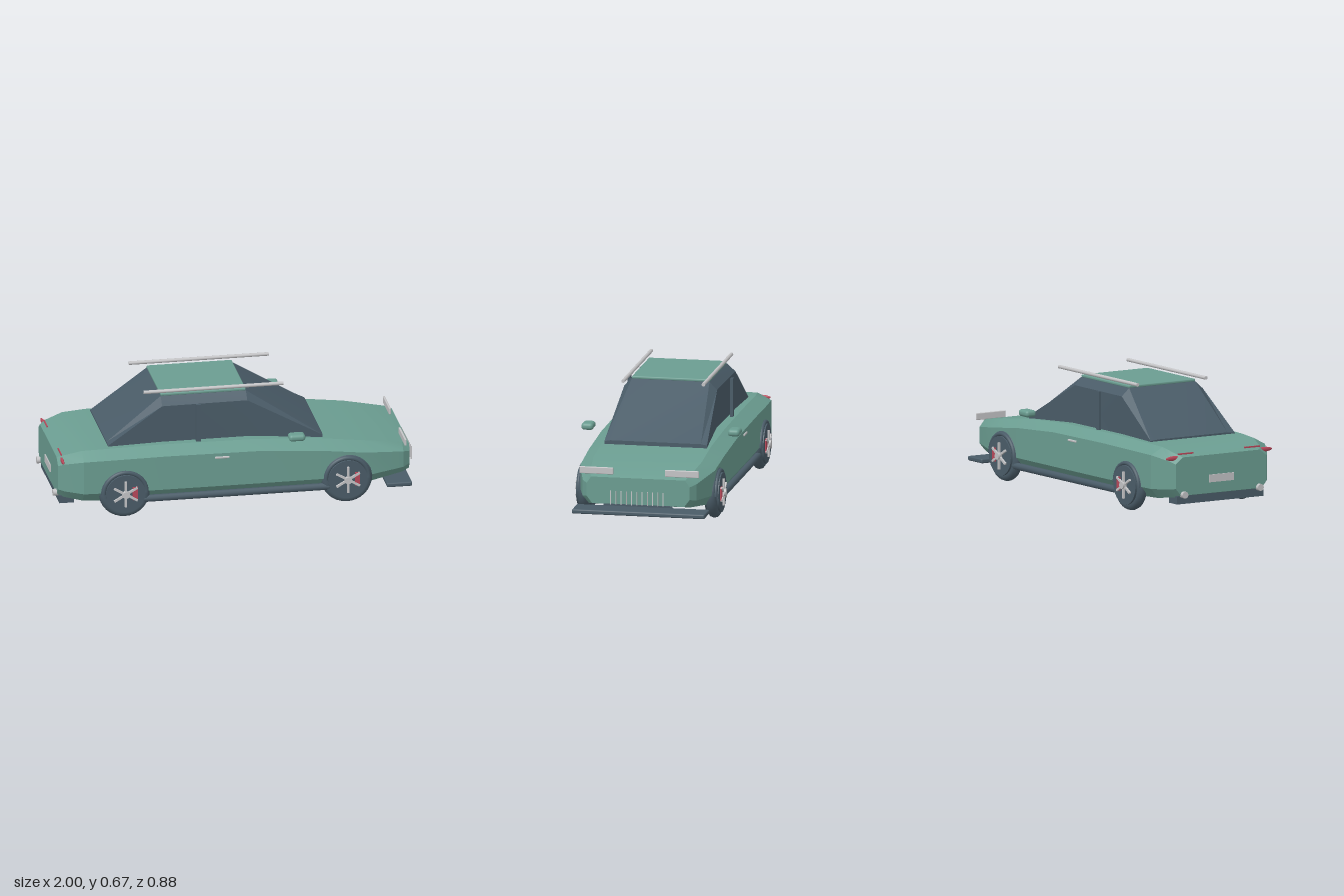
import * as THREE from 'three';
import { toCreasedNormals } from 'three/addons/utils/BufferGeometryUtils.js';
import { RoundedBoxGeometry } from 'three/addons/geometries/RoundedBoxGeometry.js';

const paint = (name, color) => {
  const m = new THREE.MeshStandardMaterial({ color });
  m.name = name;
  return m;
};

// Skins mirrored half-sections ([halfWidth, y] from top to bottom) along x
function loft(sections, crease) {
  const pos = [], index = [];
  const n = sections[0].half.length * 2;
  for (const { x, half } of sections) {
    for (const [w, y] of half) pos.push(x, y, w);
    for (const [w, y] of [...half].reverse()) pos.push(x, y, -w);
  }
  const last = (sections.length - 1) * n;
  for (let s = 0; s < last; s += n) {
    for (let j = 0; j < n; j++) {
      const a = s + j, b = s + (j + 1) % n;
      index.push(a, b, b + n, a, b + n, a + n);
    }
  }
  for (let j = 1; j < n - 1; j++) {
    index.push(0, j + 1, j, last, last + j, last + j + 1);
  }
  const g = new THREE.BufferGeometry();
  g.setAttribute('position', new THREE.Float32BufferAttribute(pos, 3));
  g.setIndex(index);
  return toCreasedNormals(g, crease);
}

export function createModel() {
  const car = new THREE.Group();
  car.name = 'car';
  const green = paint('bodyGreen', 0x6b9d91);
  const slate = paint('slate', 0x4a5c68);
  const silver = paint('silver', 0xc4c4c6);
  const red = paint('red', 0xb8485a);

  const add = (name, geometry, material, x = 0, y = 0, z = 0, parent = car) => {
    const m = new THREE.Mesh(geometry, material);
    m.name = name;
    m.position.set(x, y, z);
    parent.add(m);
    return m;
  };
  const box = (name, material, size, at, parent) =>
    add(name, new THREE.BoxGeometry(...size), material, ...at, parent);

  // Body shell: x, top width, top y, side width, shoulder y, lower y, bottom width, bottom y
  const shell = [
    [-0.98, 0.25, 0.33, 0.295, 0.295, 0.16, 0.26, 0.12],
    [-0.95, 0.27, 0.345, 0.318, 0.31, 0.155, 0.28, 0.11],
    [-0.85, 0.295, 0.374, 0.37, 0.335, 0.15, 0.325, 0.097],
    [-0.72, 0.305, 0.38, 0.376, 0.338, 0.15, 0.33, 0.092],
    [-0.4, 0.305, 0.385, 0.378, 0.342, 0.15, 0.33, 0.09],
    [0.1, 0.305, 0.381, 0.378, 0.338, 0.15, 0.33, 0.09],
    [0.45, 0.3, 0.36, 0.376, 0.315, 0.15, 0.33, 0.09],
    [0.7, 0.3, 0.33, 0.372, 0.285, 0.15, 0.33, 0.095],
    [0.92, 0.275, 0.295, 0.315, 0.255, 0.165, 0.28, 0.125],
    [0.96, 0.26, 0.282, 0.285, 0.245, 0.175, 0.255, 0.135],
  ].map(([x, tw, ty, sw, sy, ly, bw, by]) =>
    ({ x, half: [[tw, ty], [sw, sy], [sw, ly], [bw, by]] }));
  add('body', loft(shell, 0.35), green);

  // Glasshouse with chamfered upper edges
  add('glasshouse', loft([
    { x: -0.7, half: [[0.225, 0.39], [0.273, 0.385], [0.273, 0.36]] },
    { x: -0.4, half: [[0.215, 0.632], [0.263, 0.59], [0.265, 0.36]] },
    { x: 0.07, half: [[0.215, 0.632], [0.257, 0.59], [0.255, 0.36]] },
    { x: 0.48, half: [[0.25, 0.378], [0.284, 0.372], [0.284, 0.35]] },
  ], 0.2), slate);
  add('roof', new RoundedBoxGeometry(0.47, 0.016, 0.432, 2, 0.006), green, -0.165, 0.638, 0);

  // Parts repeated on both sides
  for (const side of [1, -1]) {
    const rail = add('roofRail', new THREE.CylinderGeometry(0.01, 0.01, 0.77, 12), silver, -0.11, 0.662, side * 0.222);
    rail.rotation.z = Math.PI / 2;
    box('doorPillar', slate, [0.025, 0.215, 0.016], [-0.205, 0.488, side * 0.284]);
    add('mirror', new RoundedBoxGeometry(0.09, 0.038, 0.066, 3, 0.017), green, 0.315, 0.418, side * 0.405);
    add('doorHandle', new RoundedBoxGeometry(0.08, 0.012, 0.01, 2, 0.004), silver, -0.09, 0.316, side * 0.38);
    const sill = add('sill', new THREE.CapsuleGeometry(0.02, 1.16, 4, 10), slate, -0.015, 0.102, side * 0.366);
    sill.rotation.z = Math.PI / 2;
    add('headlight', new RoundedBoxGeometry(0.012, 0.038, 0.188, 2, 0.004), silver, 0.93, 0.311, side * 0.237);
    const tail = add('tailLight', new THREE.SphereGeometry(1, 16, 10), red, -0.957, 0.325, side * 0.295);
    tail.scale.set(0.008, 0.013, 0.05);
    box('tailLightStrip', red, [0.006, 0.008, 0.1], [-0.955, 0.345, side * 0.215]);
    const pipe = add('exhaustTip', new THREE.CylinderGeometry(0.019, 0.019, 0.03, 14), silver, -0.985, 0.125, side * 0.245);
    pipe.rotation.z = Math.PI / 2;

    for (const x of [-0.625, 0.6]) addWheel(x, side);
  }

  // Wheel built facing +z, turned round for the other side
  function addWheel(x, side) {
    const wheel = new THREE.Group();
    wheel.name = 'wheel';
    wheel.position.set(x, 0.145, side * 0.355);
    car.add(wheel);
    add('tyre', new THREE.TorusGeometry(0.111, 0.03, 10, 32), slate, 0, 0, 0, wheel);
    const disc = add('wheelDisc', new THREE.CylinderGeometry(0.108, 0.108, 0.08, 32), slate, 0, 0, 0, wheel);
    disc.rotation.x = Math.PI / 2;
    const face = side * 0.045;
    for (let i = 0; i < 6; i++) {
      const a = i * Math.PI / 3;
      const spoke = box('spoke', silver, [0.012, 0.072, 0.012],
        [-Math.sin(a) * 0.038, Math.cos(a) * 0.038, face], wheel);
      spoke.rotation.z = a;
    }
    const hub = add('hub', new THREE.CylinderGeometry(0.02, 0.02, 0.022, 14), silver, 0, 0, side * 0.05, wheel);
    hub.rotation.x = Math.PI / 2;
    box('brakeCaliper', red, [0.028, 0.075, 0.012], [0.052, 0.002, side * 0.04], wheel);
    add('wheelArch', new THREE.TorusGeometry(0.118, 0.012, 8, 24, Math.PI), slate, 0, 0, side * 0.024, wheel);
  }

  // Nose: grille bars, lower intake and splitter
  for (let i = -5; i <= 5; i++) {
    box('grilleBar', silver, [0.006, 0.075, 0.004], [0.994, 0.178, i * 0.029]);
  }
  box('lowerIntake', slate, [0.012, 0.01, 0.38], [0.958, 0.131, 0]);
  add('splitter', new RoundedBoxGeometry(0.14, 0.025, 0.735, 2, 0.008), slate, 0.89, 0.083, 0);

  // Tail: plate and diffuser
  box('rearPlate', silver, [0.008, 0.042, 0.16], [-0.982, 0.2, 0]);
  box('diffuser', slate, [0.08, 0.045, 0.56], [-0.93, 0.095, 0]);

  return car;
}
